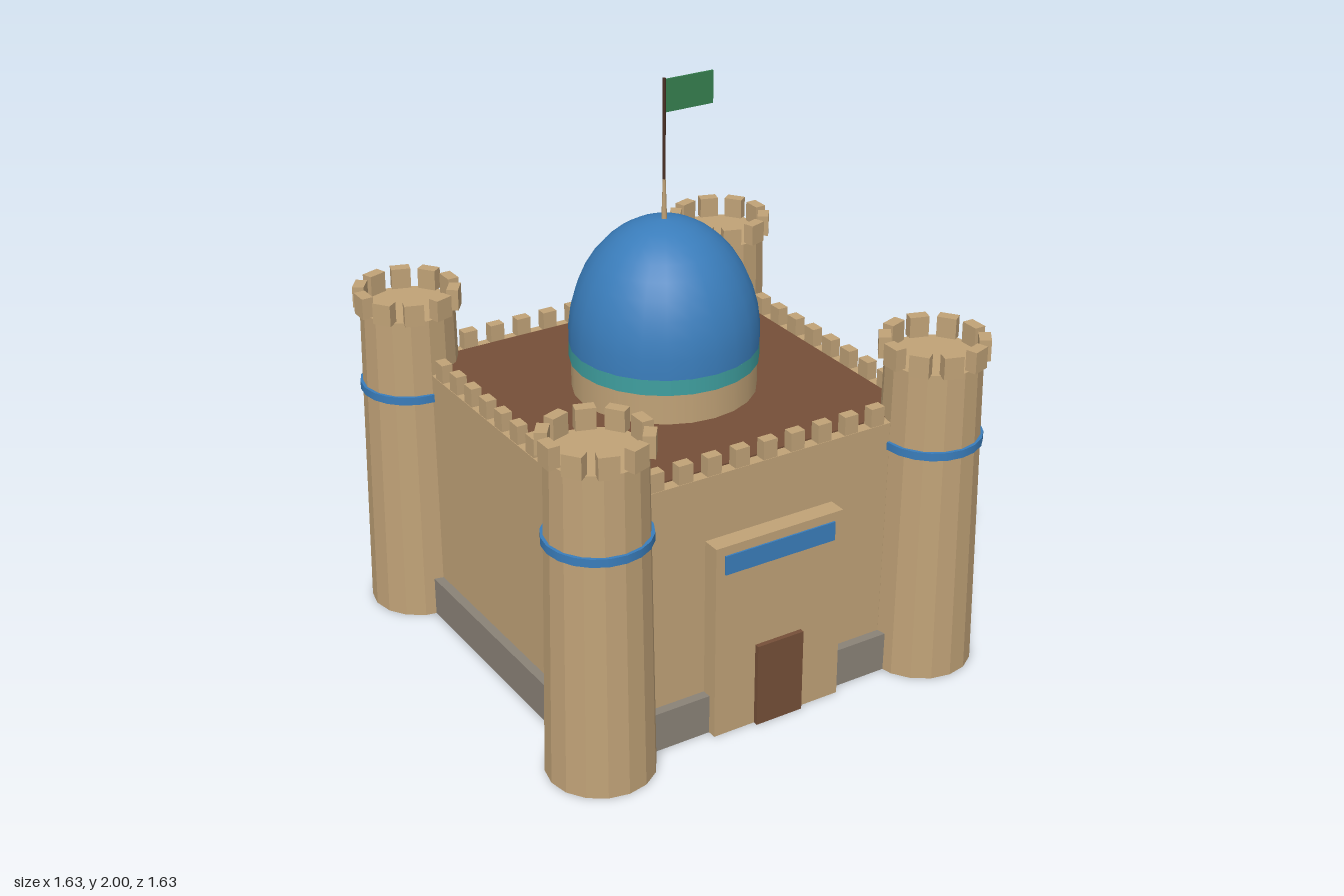
import * as THREE from 'three';

const mat = (name, color, extra = {}) => {
  const m = new THREE.MeshStandardMaterial({ color, ...extra });
  m.name = name;
  return m;
};

export function createModel() {
  const sand = mat('sandstone', 0xc0a277);
  const sandFlat = sand.clone();
  sandFlat.flatShading = true;
  const stone = mat('grey stone', 0x8a8277);
  const brown = mat('brown wood', 0x754f38);
  const blue = mat('blue tile', 0x3a7dbb);
  const teal = mat('teal tile', 0x3f9f9f);
  const green = mat('green cloth', 0x37804f);
  const dark = mat('dark pole', 0x4a3024);

  const model = new THREE.Group();
  model.name = 'fortress';

  const add = (parent, name, geo, material, x = 0, y = 0, z = 0) => {
    const mesh = new THREE.Mesh(geo, material);
    mesh.name = name;
    mesh.position.set(x, y, z);
    parent.add(mesh);
    return mesh;
  };
  // Box given by its base height y0 and top height y1
  const block = (parent, name, w, d, y0, y1, material, x = 0, z = 0) =>
    add(parent, name, new THREE.BoxGeometry(w, y1 - y0, d), material, x, (y0 + y1) / 2, z);
  const drum = (parent, name, rTop, rBottom, y0, y1, sides, material) =>
    add(parent, name, new THREE.CylinderGeometry(rTop, rBottom, y1 - y0, sides), material, 0, (y0 + y1) / 2, 0);

  // Main hall
  block(model, 'plinth', 1.334, 1.334, 0, 0.14, stone);
  block(model, 'walls', 1.268, 1.268, 0.14, 0.925, sand);
  block(model, 'roof', 1.186, 1.186, 0.92, 0.93, brown);

  // Battlements, one row per side
  for (let side = 0; side < 4; side++) {
    const row = new THREE.Group();
    row.name = 'wallBattlements';
    row.rotation.y = side * Math.PI / 2;
    for (let i = -5; i <= 5; i++) {
      block(row, 'merlon', 0.052, 0.038, 0.92, 0.99, sand, i * 0.105, 0.613);
    }
    model.add(row);
  }

  // Corner towers
  for (const sx of [-1, 1]) for (const sz of [-1, 1]) {
    const tower = new THREE.Group();
    tower.name = 'cornerTower';
    tower.position.set(sx * 0.635, 0, sz * 0.635);
    drum(tower, 'towerShaft', 0.162, 0.18, 0, 1.128, 16, sandFlat);
    drum(tower, 'towerBand', 0.176, 0.176, 0.83, 0.858, 20, blue);
    for (let i = 0; i < 10; i++) {
      const a = i * Math.PI / 5;
      const merlon = block(tower, 'towerMerlon', 0.04, 0.066, 1.125, 1.2, sand,
        Math.cos(a) * 0.161, Math.sin(a) * 0.161);
      merlon.rotation.y = -a;
    }
    model.add(tower);
  }

  // Gate on the front
  block(model, 'portal', 0.488, 0.09, 0, 0.7, sand, 0, 0.653);
  block(model, 'door', 0.178, 0.03, 0, 0.3, brown, 0, 0.7);
  block(model, 'tilePanel', 0.422, 0.008, 0.6, 0.668, blue, 0, 0.7);

  // Dome on its drum
  drum(model, 'domeDrum', 0.312, 0.312, 0.925, 1.036, 24, sand);
  drum(model, 'domeBand', 0.319, 0.319, 1.036, 1.09, 24, teal);
  const profile = [];
  const start = -0.08;
  for (let i = 0; i <= 10; i++) {
    const t = start + (Math.PI / 2 - start) * i / 10;
    profile.push(new THREE.Vector2(i === 10 ? 0 : 0.32 * Math.cos(t), 1.12 + 0.405 * Math.sin(t)));
  }
  add(model, 'dome', new THREE.LatheGeometry(profile, 24), blue);

  // Finial, pole and flag
  drum(model, 'finial', 0.005, 0.01, 1.51, 1.66, 8, sand);
  drum(model, 'flagPole', 0.005, 0.005, 1.6, 2, 8, dark);
  block(model, 'flag', 0.182, 0.006, 1.885, 1.995, green, 0.093, 0);

  return model;
}
